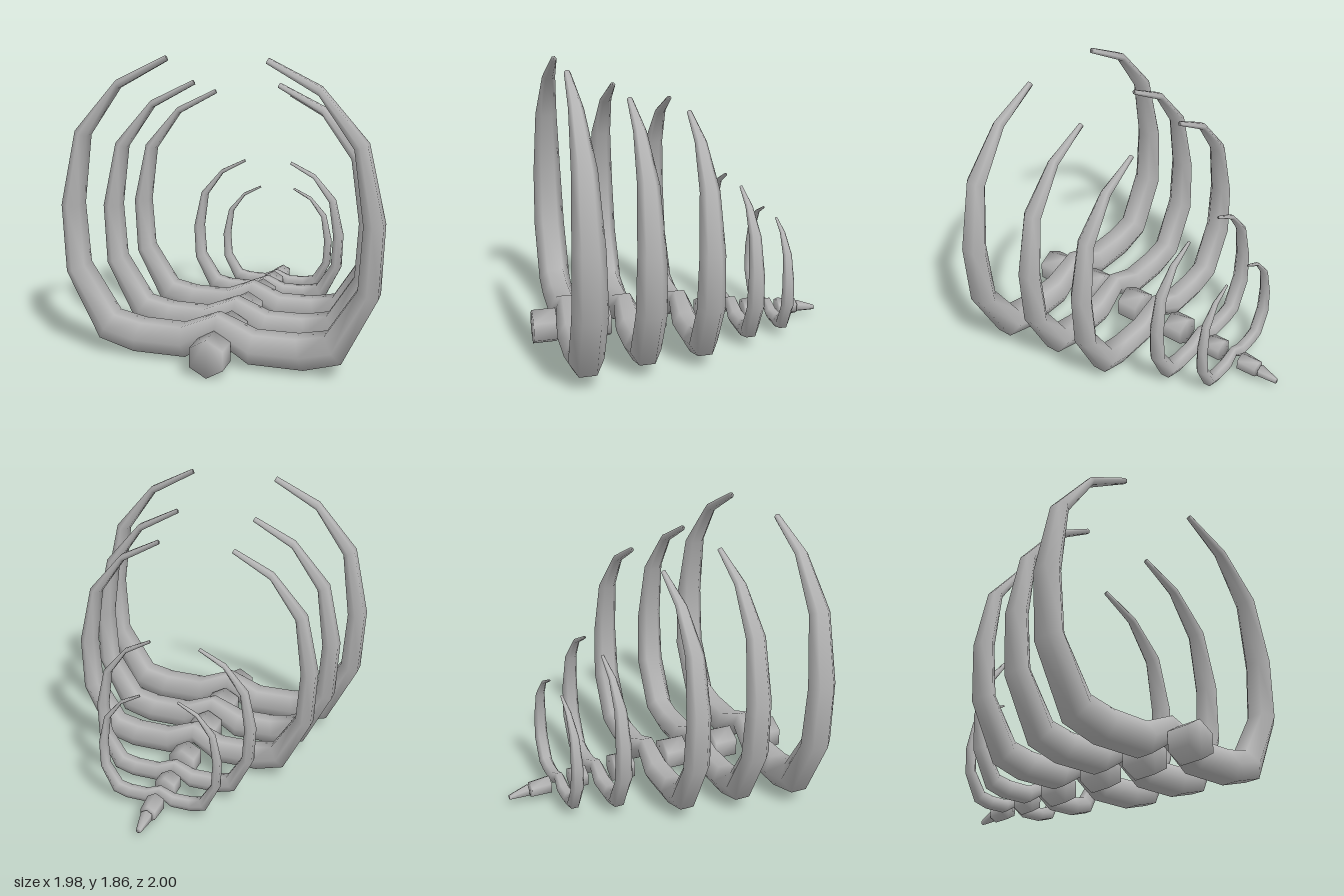
import * as THREE from 'three';

const bone = new THREE.MeshStandardMaterial({ color: 0xb4b4b4 });
bone.name = 'boneGrey';

// Smooth six-sided tube through sections { c: centre, u: half height, v: half width }
function hexLoft(sections) {
  const pos = [], idx = [], n = 6;
  for (const { c, u, v } of sections) {
    for (let k = 0; k < n; k++) {
      const a = (k / n) * Math.PI * 2 + sections.phase;
      const p = c.clone().addScaledVector(u, Math.cos(a)).addScaledVector(v, Math.sin(a));
      pos.push(p.x, p.y, p.z);
    }
  }
  const last = (sections.length - 1) * n;
  for (let i = 0; i < last; i += n) {
    for (let k = 0; k < n; k++) {
      const j = (k + 1) % n;
      idx.push(i + k, i + j, i + n + k, i + j, i + n + j, i + n + k);
    }
  }
  // End caps
  for (let k = 1; k < n - 1; k++) {
    idx.push(0, k + 1, k, last, last + k, last + k + 1);
  }
  const g = new THREE.BufferGeometry();
  g.setAttribute('position', new THREE.Float32BufferAttribute(pos, 3));
  g.setIndex(idx);
  g.computeVertexNormals();
  return g;
}

// Half rib, tip to spine: outer x, outer y, inner x, inner y, half depth
const RIB = [
  [0.31, 1.86, 0.295, 1.83, 0.02],
  [0.615, 1.71, 0.6, 1.662, 0.045],
  [0.885, 1.4, 0.81, 1.37, 0.075],
  [0.988, 0.94, 0.872, 0.94, 0.098],
  [0.97, 0.515, 0.85, 0.56, 0.109],
  [0.765, 0.1, 0.66, 0.26, 0.11],
  [0.54, 0.035, 0.49, 0.225, 0.11],
  [0.2, 0.035, 0.23, 0.222, 0.11],
  [0, 0.16, 0, 0.32, 0.083],
];
const BASE = 0.035;

function ribGeometry(scale) {
  const mirrored = RIB.slice(0, -1).reverse().map(([a, b, c, d, r]) => [-a, b, -c, d, r]);
  const sections = [...RIB, ...mirrored].map(([ox, oy, ix, iy, r]) => {
    const outer = new THREE.Vector3(ox, oy - BASE, 0).multiplyScalar(scale);
    const inner = new THREE.Vector3(ix, iy - BASE, 0).multiplyScalar(scale);
    return {
      c: outer.clone().add(inner).multiplyScalar(0.5),
      // flats face outward, so stretch the radius to reach the flat
      u: outer.clone().sub(inner).multiplyScalar(0.5 / Math.cos(Math.PI / 6)),
      v: new THREE.Vector3(0, 0, r * scale),
    };
  });
  sections.phase = Math.PI / 6;
  return hexLoft(sections);
}

// Vertebra: z start, z end, then bottom and top y at each end
function vertebraGeometry([z0, z1, b0, t0, b1, t1]) {
  const sections = [[z0, b0, t0], [z1, b1, t1]].map(([z, b, t]) => ({
    c: new THREE.Vector3(0, (b + t) / 2, z),
    u: new THREE.Vector3(0, (t - b) / 2, 0),
    v: new THREE.Vector3((t - b) / 2, 0, 0),
  }));
  sections.phase = 0;
  return hexLoft(sections);
}

export function createModel() {
  const model = new THREE.Group();
  model.name = 'ribCage';
  const add = (geometry, name) => {
    const mesh = new THREE.Mesh(geometry, bone);
    mesh.name = name;
    model.add(mesh);
    return mesh;
  };

  // Rib pairs: z position and scale
  [[0.755, 1], [0.375, 0.9], [-0.005, 0.844], [-0.383, 0.55], [-0.65, 0.414]].forEach(([z, s], i) => {
    add(ribGeometry(s), `ribPair${i + 1}`).position.set(0, BASE, z);
  });

  // Spine segments between the ribs, then the tapering tail
  [
    [1, 0.845, 0, 0.24, 0, 0.24],
    [0.645, 0.485, 0, 0.24, 0, 0.24],
    [0.265, 0.11, 0.008, 0.24, 0.008, 0.24],
    [-0.133, -0.273, 0.003, 0.207, 0.003, 0.207],
    [-0.465, -0.575, 0.015, 0.17, 0.015, 0.17],
    [-0.72, -0.855, 0.018, 0.147, 0.018, 0.13],
    [-0.87, -1, 0.03, 0.115, 0.03, 0.065],
  ].forEach((v, i) => add(vertebraGeometry(v), i < 5 ? `vertebra${i + 1}` : `tailBone${i - 4}`));

  return model;
}
